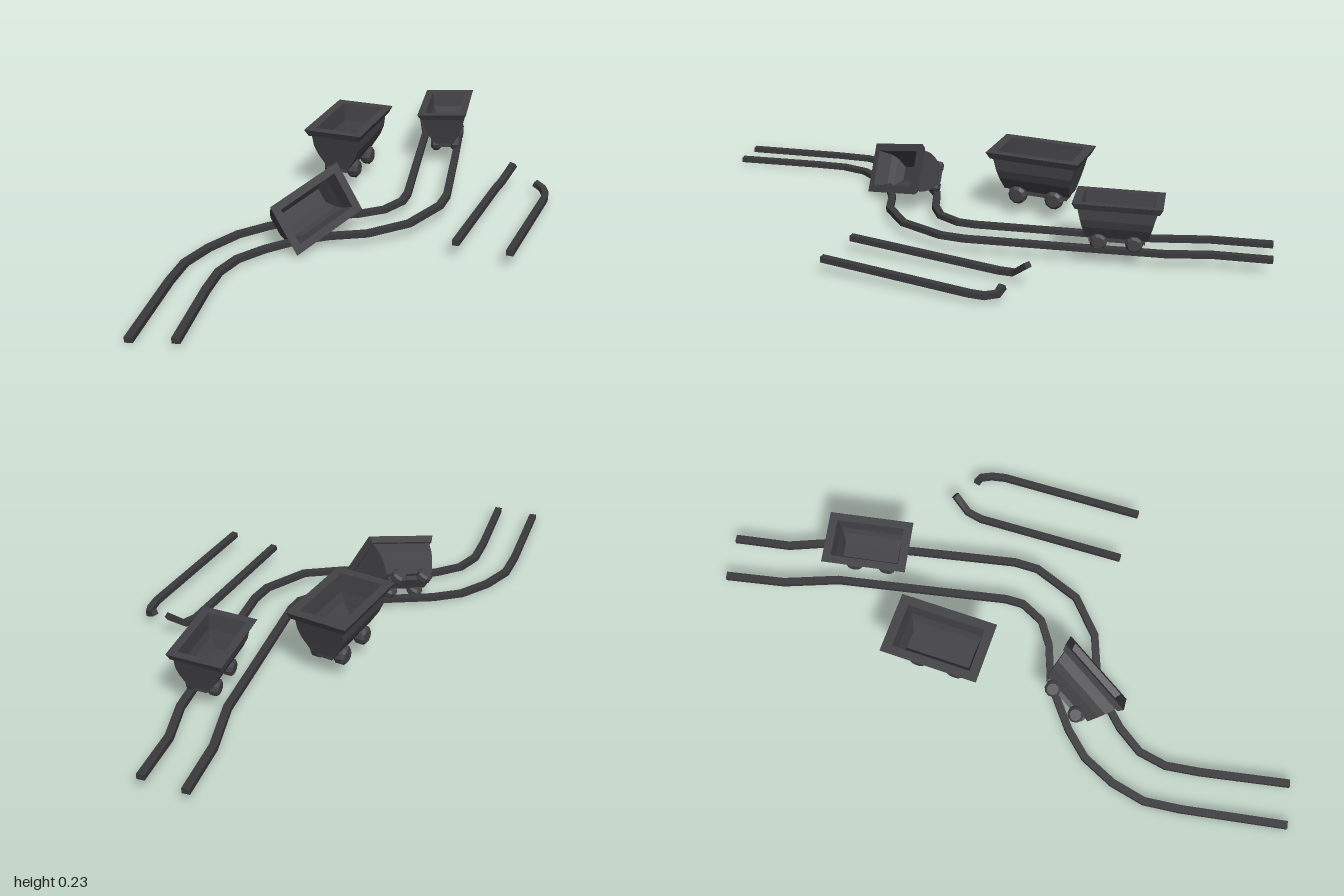
import * as THREE from 'three';

const cartMetal = new THREE.MeshStandardMaterial({ color: 0x434347 });
cartMetal.name = 'dark cart metal';
const railMetal = new THREE.MeshStandardMaterial({ color: 0x3a3a3d });
railMetal.name = 'dark rail metal';
for (const m of [cartMetal, railMetal]) m.flatShading = true;

// Skin closed rings (counter-clockwise seen from the far end) with flat faces and caps
function loft(rings) {
  const pos = [];
  const quad = (a, b, c, d) => [a, b, c, a, c, d].forEach((p) => pos.push(p.x, p.y, p.z));
  for (let i = 0; i < rings.length - 1; i++) {
    const a = rings[i], b = rings[i + 1];
    for (let j = 0; j < 4; j++) {
      const k = (j + 1) % 4;
      quad(a[j], a[k], b[k], b[j]);
    }
  }
  quad(...[...rings[0]].reverse());
  quad(...rings[rings.length - 1]);
  const g = new THREE.BufferGeometry();
  g.setAttribute('position', new THREE.Float32BufferAttribute(pos, 3));
  g.computeVertexNormals();
  return g;
}

function mesh(name, geometry, material) {
  const m = new THREE.Mesh(geometry, material);
  m.name = name;
  return m;
}

// Square bar that follows a path
function rail(name, points, w = 0.024, h = 0.017) {
  const up = new THREE.Vector3(0, 1, 0);
  const rings = points.map((p, i) => {
    const t = new THREE.Vector3();
    if (i > 0) t.add(p.clone().sub(points[i - 1]).normalize());
    if (i < points.length - 1) t.add(points[i + 1].clone().sub(p).normalize());
    t.normalize();
    const r = t.clone().cross(up).normalize();
    const u = r.clone().cross(t);
    return [[-1, -1], [-1, 1], [1, 1], [1, -1]].map(([a, b]) =>
      p.clone().addScaledVector(r, a * w / 2).addScaledVector(u, b * h / 2));
  });
  return mesh(name, loft(rings), railMetal);
}

// The main track lies on a gently tilted plane
const onTrack = ([x, z]) => new THREE.Vector3(x, 0.048 + 0.058 * x - 0.008 * z, z);

// Tub: outside from the base up, over the flared rim, then down the inside to the floor
const tubProfile = [
  [0.038, 0.112, 0.045], [0.066, 0.122, 0.09], [0.077, 0.129, 0.12], [0.08, 0.139, 0.162],
  [0.088, 0.147, 0.162], [0.099, 0.158, 0.185], [0.07, 0.127, 0.185],
  [0.066, 0.12, 0.125], [0.055, 0.113, 0.098], [0.028, 0.105, 0.06],
];
const tubGeometry = loft(tubProfile.map(([x, z, y]) =>
  [[-x, -z], [-x, z], [x, z], [x, -z]].map(([a, b]) => new THREE.Vector3(a, y, b))));

// Wheel with bevelled edges, axle along x
const wheelGeometry = new THREE.LatheGeometry(
  [[0, -0.019], [0.022, -0.019], [0.031, -0.01], [0.031, 0.01], [0.022, 0.019], [0, 0.019]]
    .map(([r, y]) => new THREE.Vector2(r, y)), 10).rotateZ(Math.PI / 2);

function cart(name) {
  const g = new THREE.Group();
  g.name = name;
  g.add(mesh('tub', tubGeometry, cartMetal));
  const chassis = mesh('chassis', new THREE.BoxGeometry(0.05, 0.026, 0.2), cartMetal);
  chassis.position.y = 0.038;
  g.add(chassis);
  for (const z of [-0.063, 0.063]) {
    for (const x of [-0.04, 0.04]) {
      const w = mesh('wheel', wheelGeometry, cartMetal);
      w.position.set(x, 0.031, z);
      g.add(w);
    }
  }
  return g;
}

// Place a cart by its up direction and its long direction
function orient(c, up, along) {
  const y = up.normalize();
  const x = y.clone().cross(along).normalize();
  const z = x.clone().cross(y);
  c.quaternion.setFromRotationMatrix(new THREE.Matrix4().makeBasis(x, y, z));
}

export function createModel() {
  const model = new THREE.Group();
  model.name = 'mineCartsAndTrack';

  // Main winding track
  model.add(rail('rightRail', [
    [-0.163, -0.98], [-0.127, -0.79], [-0.066, -0.62], [-0.02, -0.37], [0.036, -0.07],
    [0.037, -0.01], [0, 0.065], [-0.07, 0.112], [-0.19, 0.155], [-0.32, 0.255],
    [-0.39, 0.33], [-0.44, 0.435], [-0.466, 0.545], [-0.456, 0.66], [-0.404, 0.992],
  ].map(onTrack)));
  model.add(rail('leftRail', [
    [-0.032, -0.997], [-0.002, -0.82], [0.048, -0.69], [0.106, -0.4], [0.167, -0.08],
    [0.167, 0], [0.11, 0.15], [0.005, 0.245], [-0.105, 0.285], [-0.19, 0.335],
    [-0.265, 0.41], [-0.32, 0.49], [-0.338, 0.58], [-0.325, 0.69], [-0.276, 0.968],
  ].map(onTrack)));

  // Loose rails with bent ends
  const v = ([x, y, z]) => new THREE.Vector3(x, y, z);
  model.add(rail('looseRailInner', [
    [0.287, 0.06, 0.25], [0.293, 0.034, -0.24], [0.302, 0.04, -0.29], [0.329, 0.086, -0.342],
  ].map(v), 0.022, 0.018));
  model.add(rail('looseRailOuter', [
    [0.457, 0.06, 0.265], [0.465, 0.034, -0.21], [0.458, 0.031, -0.255],
    [0.441, 0.035, -0.288], [0.414, 0.048, -0.295],
  ].map(v), 0.022, 0.018));

  // Large cart standing beside the track
  const large = cart('largeCart');
  large.position.set(-0.214, 0.055, -0.206);
  large.rotation.y = -0.025;
  model.add(large);

  // Small cart on the rails
  const small = cart('railCart');
  small.scale.setScalar(0.86);
  small.position.set(0.042, 0.052, -0.535);
  orient(small, new THREE.Vector3(-0.058, 1, 0.008), new THREE.Vector3(0.163, 0, 0.987));
  model.add(small);

  // Small cart tipped over across the bend
  const tipped = cart('tippedCart');
  tipped.scale.setScalar(0.86);
  tipped.position.set(-0.258, 0.067, 0.204);
  orient(tipped, new THREE.Vector3(0.744, 0.398, 0.538), new THREE.Vector3(0.468, 0.264, -0.843));
  model.add(tipped);

  return model;
}
